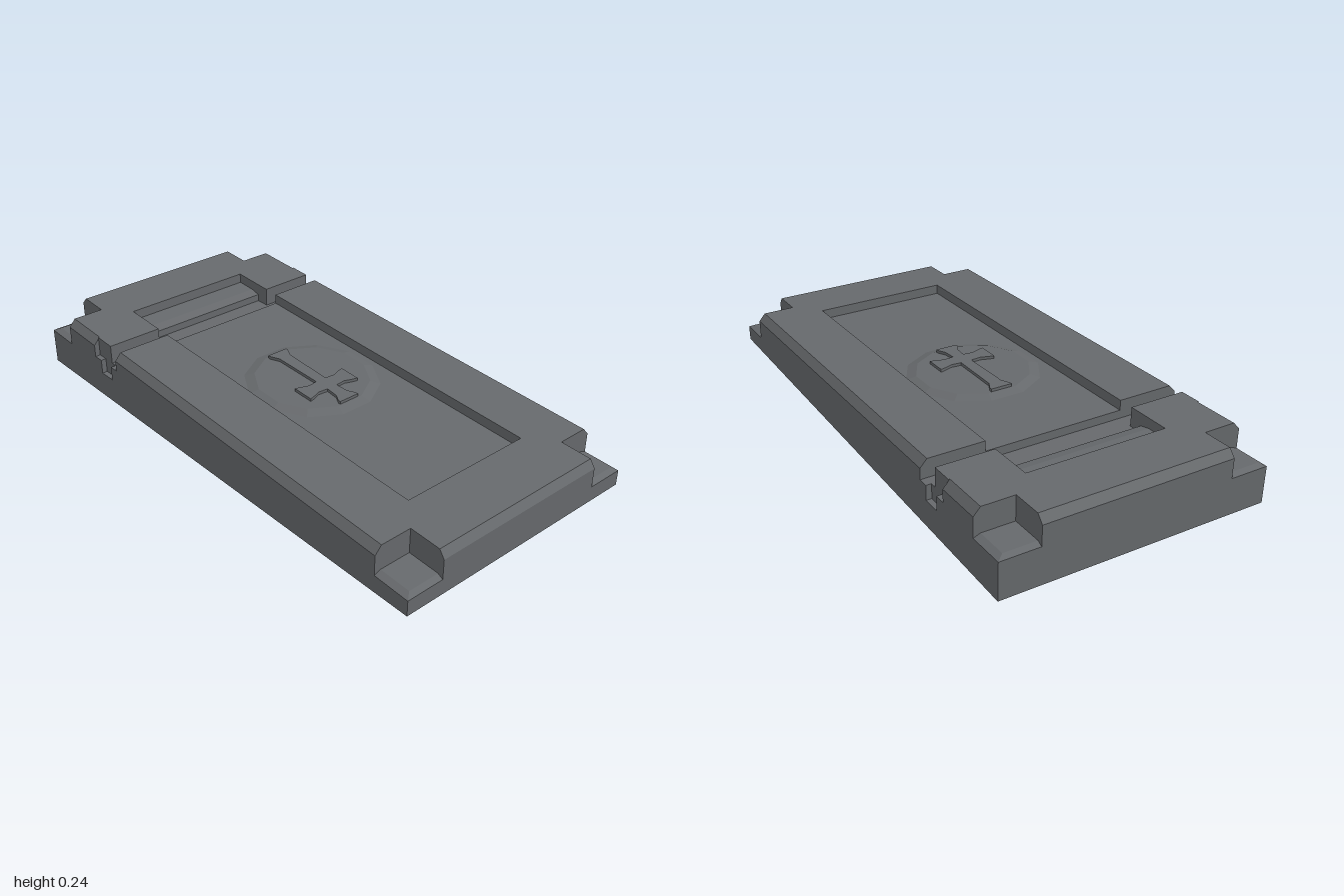
import * as THREE from 'three';

const PANEL = 0.038; // depth of the sunken panel below the sloping top
const top = z => 0.2 - 0.04 * z;

export function createModel() {
  const model = new THREE.Group();
  const stone = new THREE.MeshStandardMaterial({ color: 0x66696c });
  stone.name = 'darkStone';

  const add = (name, geo) => {
    const flat = geo.index ? geo.toNonIndexed() : geo;
    flat.computeVertexNormals();
    const mesh = new THREE.Mesh(flat, stone);
    mesh.name = name;
    model.add(mesh);
  };

  // Block standing on the ground whose top follows the slope (or is flat at
  // height `flat`); `bevel` gives the inset of the top on each side
  const block = (name, x0, x1, z0, z1, { depth = 0, flat, bevel = {}, drop = 0.028 } = {}) => {
    const { left = 0, right = 0, front = 0, back = 0 } = bevel;
    const geo = new THREE.BoxGeometry(1, 1, 1, 1, 2, 1);
    const p = geo.attributes.position;
    for (let i = 0; i < p.count; i++) {
      const level = p.getY(i);
      const inset = level > 0.4 ? 1 : 0;
      const x = p.getX(i) < 0 ? x0 + inset * right : x1 - inset * left;
      const z = p.getZ(i) < 0 ? z0 + inset * back : z1 - inset * front;
      const h = flat ?? top(z) - depth;
      p.setXYZ(i, x, level < -0.4 ? 0 : inset ? h : h - drop, z);
    }
    add(name, geo);
  };

  // The same block on both sides
  const pair = (name, x0, x1, z0, z1, o = {}) => {
    const b = o.bevel ?? {};
    block(name + 'Left', x0, x1, z0, z1, { ...o, bevel: { ...b, left: b.outer } });
    block(name + 'Right', -x1, -x0, z0, z1, { ...o, bevel: { ...b, right: b.outer } });
  };

  // Ends, frame and sunken panel
  block('frontEnd', -0.355, 0.355, 0.86, 1, { bevel: { front: 0.02 } });
  block('frontFrame', -0.265, 0.265, 0.76, 0.86);
  block('panel', -0.265, 0.265, -0.535, 0.76, { depth: PANEL });
  block('panelBack', -0.265, 0.265, -0.77, -0.65, { depth: PANEL, bevel: { front: 0.04 }, drop: 0.008 });
  block('backFrame', -0.265, 0.265, -0.86, -0.77);
  block('backEnd', -0.355, 0.355, -1, -0.86, { bevel: { back: 0.025 } });

  // Side rails, split by the cross groove
  pair('rail', 0.265, 0.5, -0.535, 0.86, { bevel: { outer: 0.025 } });
  pair('railBack', 0.265, 0.5, -0.86, -0.68, { bevel: { outer: 0.025 } });
  pair('railBlock', 0.265, 0.48, -0.68, -0.595);

  // Low corners
  pair('frontCorner', 0.355, 0.5, 0.86, 1, { depth: 0.092, bevel: { outer: 0.025, front: 0.02 }, drop: 0.01 });
  pair('backCorner', 0.355, 0.5, -1, -0.86, { depth: 0.092, bevel: { outer: 0.025, back: 0.02 }, drop: 0.01 });

  // Groove floor, and the stepped notch where it runs out at each side
  block('grooveFloor', -0.265, 0.265, -0.65, -0.535, { flat: 0.152 });
  pair('grooveSide', 0.265, 0.48, -0.595, -0.535, { flat: 0.152 });
  pair('notchFront', 0.48, 0.5, -0.572, -0.535, { flat: 0.152 });
  pair('notchMiddle', 0.48, 0.5, -0.64, -0.572, { flat: 0.097 });
  pair('notchBack', 0.48, 0.5, -0.68, -0.64, { flat: 0.152 });

  // Lay a flat ornament on the sloping panel
  const onPanel = (geo, lift) => {
    const p = geo.attributes.position;
    for (let i = 0; i < p.count; i++) p.setY(i, p.getY(i) + top(p.getZ(i)) - PANEL + lift);
    return geo;
  };

  // Twelve-sided medallion
  const disc = new THREE.CylinderGeometry(0.212, 0.253, 0.012, 12).rotateY(Math.PI / 12);
  add('medallion', onPanel(disc, 0.005));

  // Flared cross, long arm to the back
  const half = [[0.042, 0.2], [0.042, 0.19], [0.025, 0.155], [0.022, -0.048], [0.06, -0.052], [0.095, -0.04],
    [0.112, -0.036], [0.112, -0.122], [0.095, -0.118], [0.06, -0.106], [0.022, -0.11], [0.026, -0.16],
    [0.042, -0.19], [0.042, -0.2]];
  const outline = [...half, ...half.map(([x, y]) => [-x, y]).reverse()].map(([x, y]) => new THREE.Vector2(x, y));
  const cross = new THREE.ExtrudeGeometry(new THREE.Shape(outline), { depth: 0.014, bevelEnabled: false });
  add('cross', onPanel(cross.rotateX(-Math.PI / 2), 0.008));

  return model;
}
